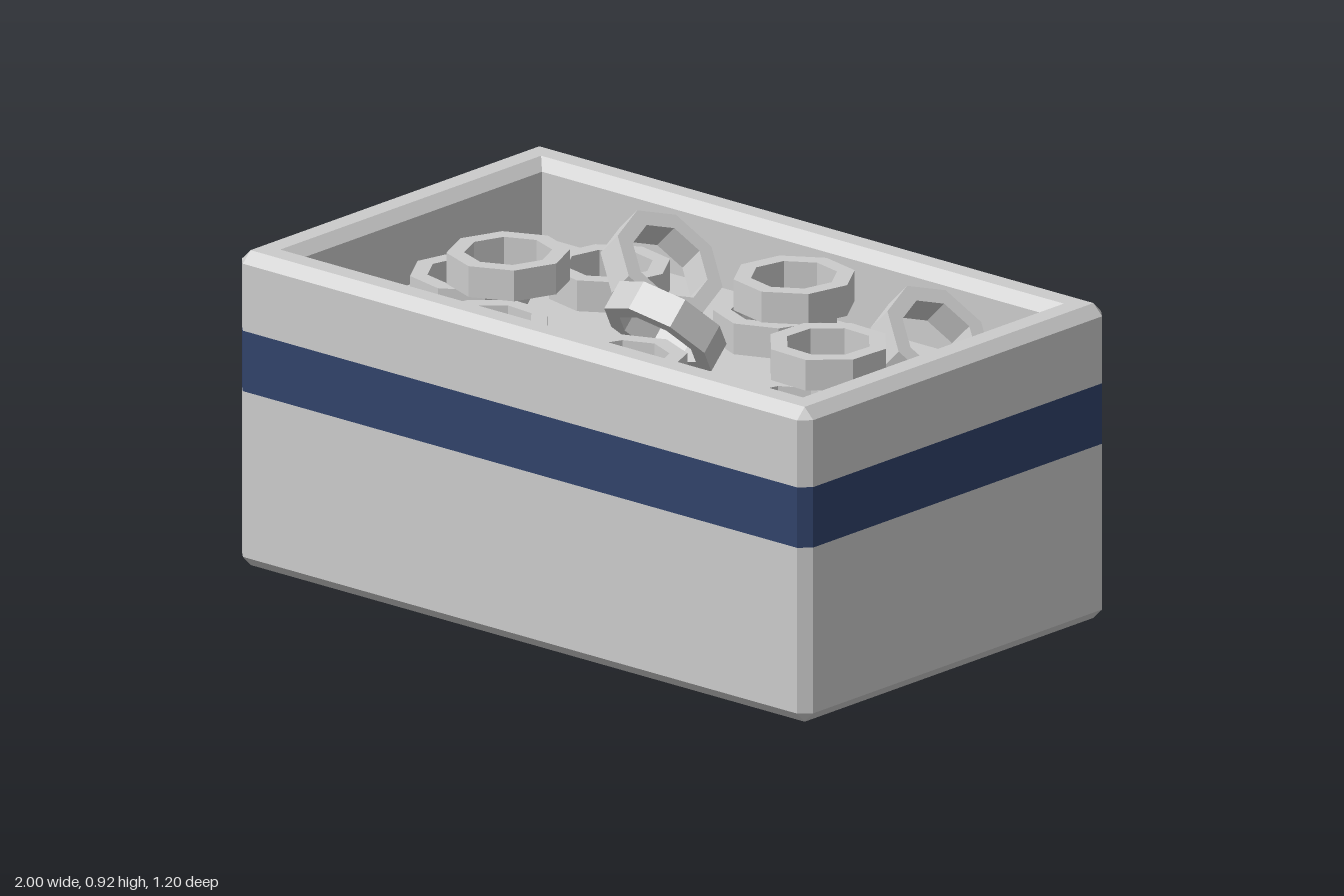
import * as THREE from 'three';

const grey = new THREE.MeshStandardMaterial({ color: 0xcccccc, flatShading: true });
const blue = new THREE.MeshStandardMaterial({ color: 0x30426a, flatShading: true });

// Rectangle outline at height y with corners cut by c (c = 0 gives sharp corners)
function outline(x, z, y, c = 0) {
  const q = [];
  for (const [sx, sz] of [[1, 1], [-1, 1], [-1, -1], [1, -1]]) {
    const pair = [
      new THREE.Vector3(sx * x, y, sz * (z - c)),
      new THREE.Vector3(sx * (x - c), y, sz * z),
    ];
    if (sx * sz < 0) pair.reverse();
    q.push(...pair);
  }
  return q;
}

// Skin a stack of outlines, leaving out collapsed triangles
function skin(outlines) {
  const pos = [];
  const tri = (a, b, c) => {
    if (a.equals(b) || b.equals(c) || a.equals(c)) return;
    pos.push(...a.toArray(), ...b.toArray(), ...c.toArray());
  };
  for (let k = 0; k < outlines.length - 1; k++) {
    const lo = outlines[k], up = outlines[k + 1];
    for (let i = 0; i < 8; i++) {
      const j = (i + 1) % 8;
      tri(lo[i], up[i], up[j]);
      tri(lo[i], up[j], lo[j]);
    }
  }
  const g = new THREE.BufferGeometry();
  g.setAttribute('position', new THREE.Float32BufferAttribute(pos, 3));
  g.computeVertexNormals();
  return g;
}

function add(parent, name, geometry, material) {
  const mesh = new THREE.Mesh(geometry, material);
  mesh.name = name;
  parent.add(mesh);
  return mesh;
}

export function createModel() {
  const model = new THREE.Group();
  model.name = 'boxOfRings';

  const C = 0.03, FLOOR = 0.66, BAND_LOW = 0.488, BAND_HIGH = 0.655;
  const side = (y) => outline(1, 0.6, y, C);

  // Box: base and lower walls, coloured band, upper walls with rim and tray
  const box = new THREE.Group();
  box.name = 'box';
  model.add(box);
  add(box, 'lowerBox', skin([
    outline(0, 0, 0), outline(0.97, 0.57, 0), side(C), side(BAND_LOW),
  ]), grey);
  add(box, 'band', skin([side(BAND_LOW), side(BAND_HIGH)]), blue);
  add(box, 'rimAndTray', skin([
    side(BAND_HIGH), side(0.84), outline(0.97, 0.57, 0.87),
    outline(0.915, 0.515, 0.87), outline(0.885, 0.485, 0.84),
    outline(0.885, 0.485, FLOOR), outline(0, 0, FLOOR),
  ]), grey);

  // Eight-sided ring shared by all the contents
  const R = 0.163, r = 0.116, h = 0.0425;
  const ringGeo = new THREE.LatheGeometry(
    [[R, -h], [R, h], [r, h], [r, -h], [R, -h]].map(([x, y]) => new THREE.Vector2(x, y)), 8
  ).toNonIndexed();
  ringGeo.computeVertexNormals();

  const rings = new THREE.Group();
  rings.name = 'rings';
  model.add(rings);

  // Flat rings: x, z, layer, turn in degrees
  const flat = [
    [-0.44, -0.25, 0, 10], [0.13, -0.26, 0, 0], [0.46, -0.13, 0, 12],
    [-0.67, 0.04, 0, 10], [-0.375, 0.295, 0, 18], [0.085, 0.28, 0, 0],
    [0.65, 0.28, 0, 8], [0.17, -0.29, 1, 10], [-0.52, 0.06, 1, 2], [0.6, 0.06, 1, 20],
  ];
  for (const [x, z, layer, turn] of flat) {
    const ring = add(rings, 'flatRing', ringGeo, grey);
    ring.position.set(x, FLOOR + h + layer * 0.095, z);
    ring.rotation.y = THREE.MathUtils.degToRad(turn);
  }

  // Rings leaning at 45 degrees: x, z, tilt about x, tilt about z
  const T = -Math.PI / 4;
  for (const [x, z, tx, tz] of [[-0.245, -0.235, 0, T], [0.695, -0.24, 0, T], [0.07, 0.105, T, 0]]) {
    const ring = add(rings, 'leaningRing', ringGeo, grey);
    ring.position.set(x, 0.775, z);
    ring.rotation.set(tx, 0, tz);
  }
  return model;
}
